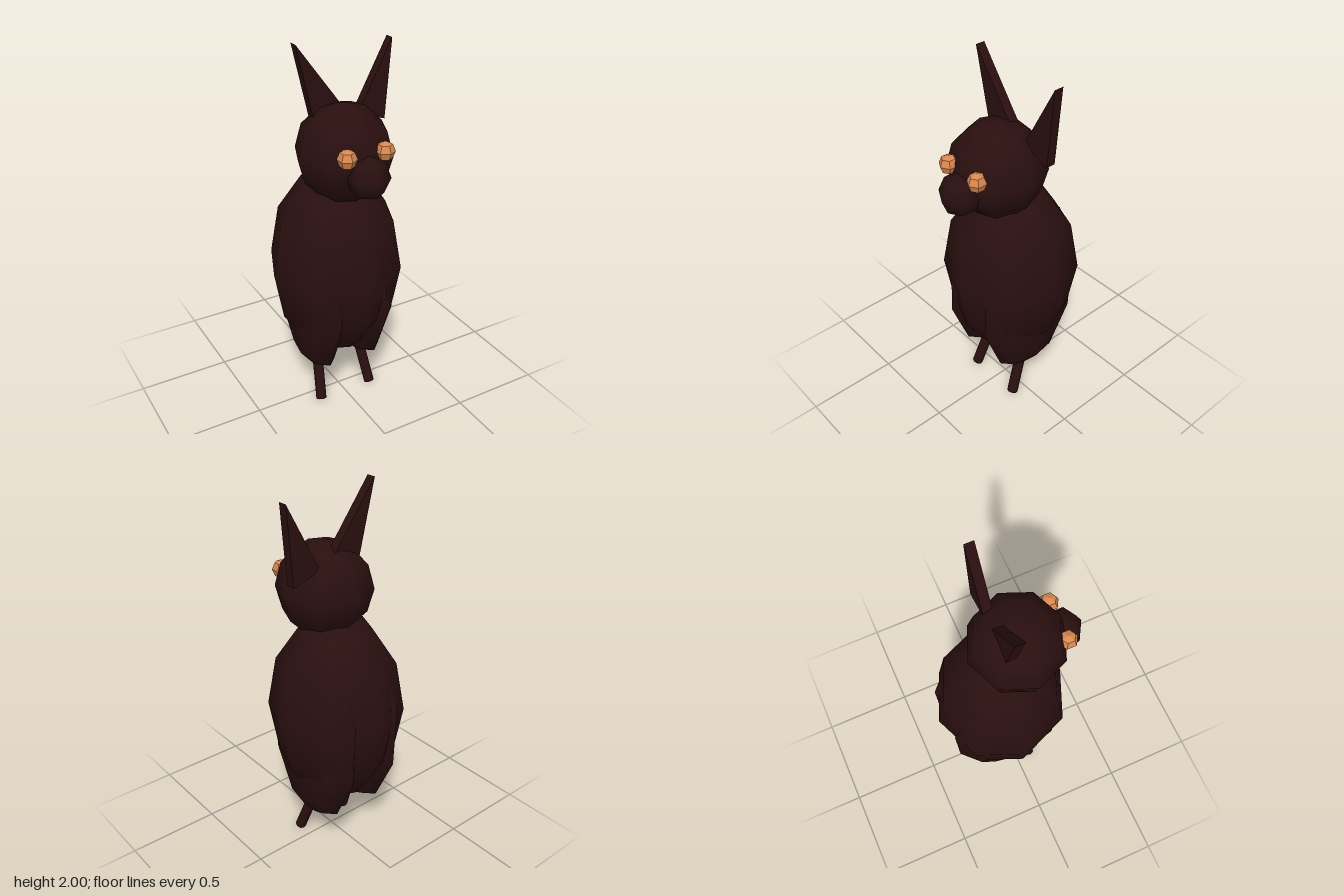
import * as THREE from 'three';

export function createModel() {
  const model = new THREE.Group();
  const fur = new THREE.MeshStandardMaterial({ color: 0x2a0f0f });
  fur.name = 'dark brown fur';
  const amber = new THREE.MeshStandardMaterial({ color: 0xda8850 });
  amber.name = 'amber eye';

  const add = (name, geometry, material) => {
    const mesh = new THREE.Mesh(geometry, material);
    mesh.name = name;
    model.add(mesh);
    return mesh;
  };

  // Low-poly ellipsoid; turn sets which way the corners of its rings point
  const ellipsoid = (rx, ry, rz, sides, rings, turn = 0) =>
    new THREE.SphereGeometry(1, sides, rings).rotateY(turn).scale(rx, ry, rz);

  // Torso, head and snout
  add('body', ellipsoid(0.36, 0.54, 0.36, 8, 6), fur).position.set(0, 0.81, -0.036);
  add('head', ellipsoid(0.25, 0.25, 0.25, 8, 6), fur).position.set(0, 1.46, 0.053);
  add('snout', ellipsoid(0.11, 0.11, 0.11, 6, 4, Math.PI / 2), fur).position.set(0, 1.41, 0.285);

  // Flat triangular ears, each leaning its own way
  const ear = (name, points) => {
    const shape = new THREE.Shape(points.map(([x, y]) => new THREE.Vector2(x, y)));
    const geometry = new THREE.ExtrudeGeometry(shape, { depth: 0.05, bevelEnabled: false });
    add(name, geometry.translate(0, 0, -0.06), fur);
  };
  ear('rightEar', [[-0.217, 2.0], [-0.125, 1.605], [0.03, 1.67]]);
  ear('leftEar', [[0.307, 1.968], [0.115, 1.61], [0.275, 1.56]]);

  const up = new THREE.Vector3(0, 1, 0);
  for (const [side, s] of [['left', 1], ['right', -1]]) {
    // Faceted eye
    const eye = ellipsoid(0.05, 0.05, 0.05, 6, 4, Math.PI / 2).toNonIndexed();
    eye.computeVertexNormals();
    add(side + 'Eye', eye, amber).position.set(s * 0.104, 1.517, 0.266);

    // Long thigh sunk into the body, leaning slightly back
    const thigh = add(side + 'Thigh', ellipsoid(0.138, 0.55, 0.322, 8, 5), fur);
    thigh.position.set(s * 0.14, 0.715, -0.045);
    thigh.rotation.x = -0.035;

    // Thin leg angled forward
    const foot = new THREE.Vector3(s * 0.157, 0.011, 0.085);
    const hip = new THREE.Vector3(s * 0.127, 0.3, -0.02);
    const axis = hip.clone().sub(foot);
    const leg = add(side + 'Leg', new THREE.CylinderGeometry(0.03, 0.03, axis.length(), 8), fur);
    leg.position.copy(foot).add(hip).multiplyScalar(0.5);
    leg.quaternion.setFromUnitVectors(up, axis.normalize());
  }
  return model;
}
